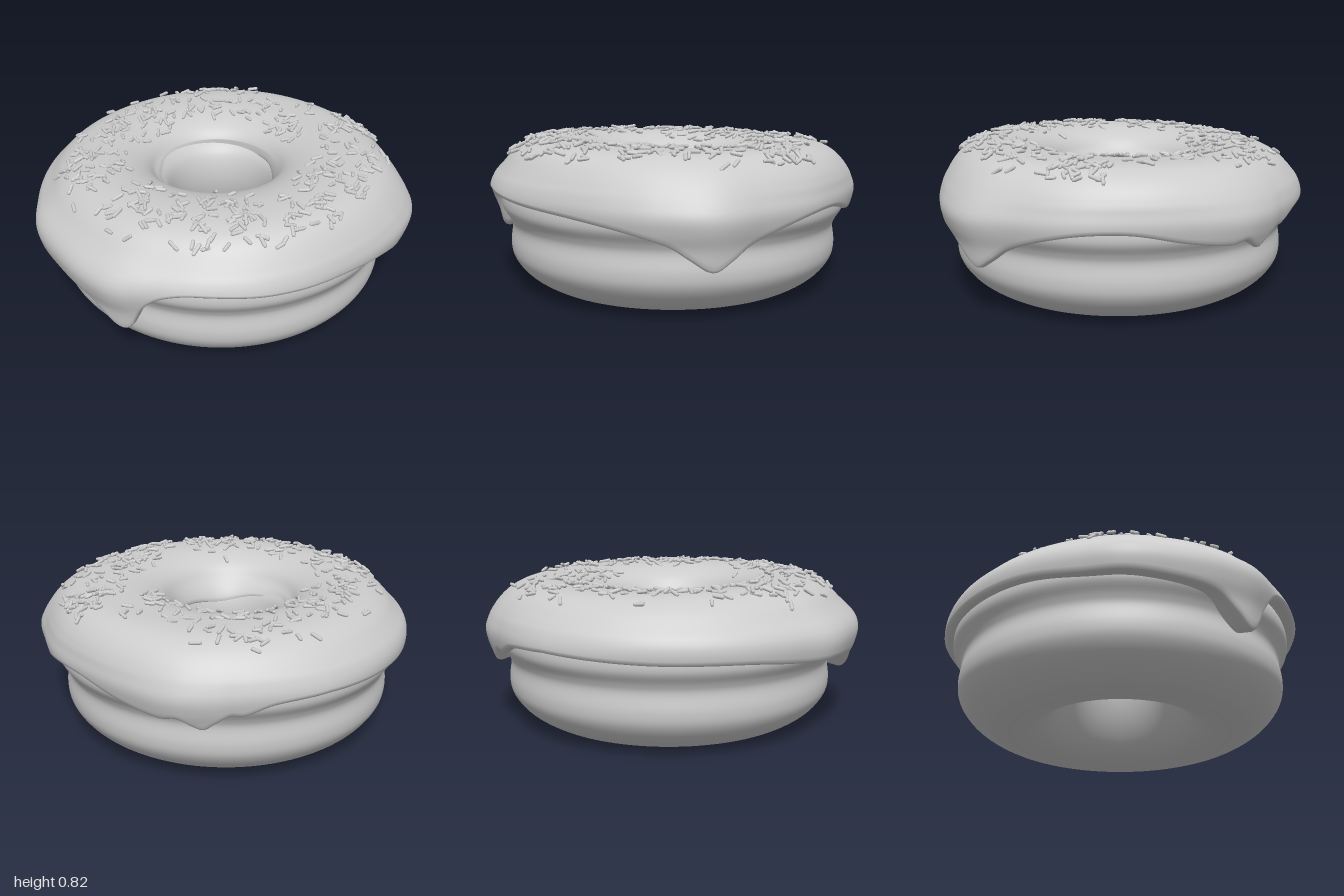
import * as THREE from 'three';
import { mergeGeometries } from 'three/addons/utils/BufferGeometryUtils.js';

const SEG = 300;
const { lerp, smoothstep, degToRad } = THREE.MathUtils;

// Smooth interpolation through [x, y] pairs
function spline(table, x) {
  const last = table.length - 1;
  let i = 0;
  while (i < last - 1 && x > table[i + 1][0]) i++;
  const slope = (k) => {
    const a = table[Math.max(k - 1, 0)], b = table[Math.min(k + 1, last)];
    return (b[1] - a[1]) / (b[0] - a[0]);
  };
  const [x0, y0] = table[i], [x1, y1] = table[i + 1];
  const h = x1 - x0, t = THREE.MathUtils.clamp((x - x0) / h, 0, 1);
  const t2 = t * t, t3 = t2 * t;
  return (2 * t3 - 3 * t2 + 1) * y0 + (t3 - 2 * t2 + t) * h * slope(i)
    + (3 * t2 - 2 * t3) * y1 + (t3 - t2) * h * slope(i + 1);
}

// Ring surface from a cross-section (r, y) per angle; angle 0 is the front, 90 the +x side
function ringSurface(section) {
  const pos = [], idx = [];
  let n = 0;
  for (let i = 0; i < SEG; i++) {
    const deg = -180 + (360 * i) / SEG, a = degToRad(deg);
    const pts = section(deg);
    n = pts.length;
    for (const p of pts) pos.push(p.x * Math.sin(a), p.y, p.x * Math.cos(a));
  }
  for (let i = 0; i < SEG; i++) {
    for (let j = 0; j < n - 1; j++) {
      const a = i * n + j, c = ((i + 1) % SEG) * n + j;
      idx.push(a, a + 1, c, c, a + 1, c + 1);
    }
  }
  const g = new THREE.BufferGeometry();
  g.setAttribute('position', new THREE.Float32BufferAttribute(pos, 3));
  g.setIndex(idx);
  g.computeVertexNormals();
  return g;
}

const curve = (pts) => new THREE.SplineCurve(pts.map(([x, y]) => new THREE.Vector2(x, y)));

// Dough cross-section: up the hole, over the top, down the grooved outside
const doughCurve = curve([
  [0.58, 0], [0.49, 0.018], [0.4, 0.07], [0.325, 0.17], [0.275, 0.29], [0.253, 0.42], [0.27, 0.54],
  [0.32, 0.62], [0.45, 0.69], [0.65, 0.71], [0.83, 0.63], [0.915, 0.54], [0.93, 0.45], [0.893, 0.38],
  [0.878, 0.33], [0.888, 0.24], [0.873, 0.165], [0.81, 0.085], [0.71, 0.022], [0.62, 0], [0.58, 0],
]);

// Icing: top cross-section, outer radius by height, drip edge and outline by angle
const topCurve = curve([
  [0.335, 0.66], [0.375, 0.71], [0.45, 0.75], [0.55, 0.774], [0.67, 0.777],
  [0.78, 0.755], [0.865, 0.71], [0.925, 0.65],
]);
const outerRadius = [[0.25, 0.925], [0.32, 0.935], [0.38, 0.945], [0.45, 0.97], [0.53, 0.983], [0.6, 0.962], [0.65, 0.925]];
const dripEdge = [
  [-180, 0.52], [-150, 0.5], [-120, 0.49], [-100, 0.46], [-85, 0.45], [-70, 0.43], [-62, 0.4],
  [-56, 0.33], [-51, 0.275], [-47.5, 0.3], [-45, 0.39], [-42, 0.47], [-37, 0.525], [-28, 0.55], [0, 0.525],
  [20, 0.5], [35, 0.465], [47, 0.41], [53, 0.345], [59, 0.285], [64, 0.33], [70, 0.4], [80, 0.46],
  [92, 0.5], [105, 0.5], [120, 0.45], [133, 0.42], [138, 0.435], [142, 0.395], [145, 0.375],
  [148, 0.41], [152, 0.455], [156, 0.45], [164, 0.5], [180, 0.52],
];
const outline = [
  [-180, 0.985], [-165, 0.97], [-149, 0.96], [-118, 0.96], [-102, 0.97], [-90, 1], [-75, 1], [-61, 1.02],
  [-51, 1.03], [-38, 0.99], [-24, 0.985], [-12, 0.985], [0, 0.975], [18, 0.97], [33, 1], [45, 1.04],
  [59, 1.07], [73, 1.02], [90, 1], [105, 0.98], [120, 0.986], [137, 1.02], [147, 1.01], [156, 0.99], [180, 0.985],
];

// Adds the uneven outline, strongest near the drips, and the slightly wavy top
function shapeIcing(r, y, deg) {
  const a = degToRad(deg);
  const bulge = (spline(outline, deg) - 0.985) * (1 - 0.6 * smoothstep(y, 0.48, 0.72));
  const shoulder = 0.025 * Math.sin(a) * smoothstep(y, 0.56, 0.68);
  const lift = 0.012 * (1 + Math.sin(a)) * smoothstep(r, 0.62, 0.85);
  return new THREE.Vector2(
    r + (bulge + shoulder) * smoothstep(r, 0.6, 0.93),
    y + (0.014 * Math.cos(a + 0.26) + lift) * smoothstep(y, 0.6, 0.75),
  );
}

function icingSection(deg) {
  const a = degToRad(deg), pts = [];
  const add = (r, y) => pts.push(shapeIcing(r, y, deg));
  const yIn = 0.59 - 0.03 * Math.cos(a) - 0.01 * Math.cos(2 * a) + 0.008 * Math.sin(5 * a);
  const rIn = 0.3 + 0.02 * Math.sin(a) - 0.03 * Math.cos(a);
  // inner lip and wall
  add(rIn + 0.09, yIn + 0.02);
  add(rIn + 0.03, yIn - 0.012);
  add(rIn + 0.008, yIn - 0.01);
  for (let k = 0; k < 6; k++) {
    const t = k / 6;
    add(lerp(rIn, 0.335, t * t * 0.6 + t * 0.4), lerp(yIn, 0.66, t));
  }
  // top
  for (const p of topCurve.getSpacedPoints(28)) add(p.x, p.y);
  // outer wall down to the drip edge, then the rounded lip
  const yOut = spline(dripEdge, deg);
  for (let k = 1; k <= 14; k++) {
    const y = lerp(0.65, yOut, k / 14);
    add(spline(outerRadius, y), y);
  }
  const rOut = spline(outerRadius, yOut);
  add(rOut - 0.01, yOut - 0.013);
  add(rOut - 0.03, yOut - 0.018);
  add(rOut - 0.07, yOut - 0.005);
  add(rOut - 0.16, yOut + 0.03);
  return pts;
}

// Small seeded random generator
function seeded(seed) {
  return () => {
    seed = (Math.imul(seed, 1664525) + 1013904223) >>> 0;
    return seed / 4294967296;
  };
}

function sprinkleGeometry() {
  const rand = seeded(7);
  const bell = () => (rand() + rand() + rand() - 1.5) * 2;
  // clusters: x, z, spread, count
  const clusters = [
    [-0.22, -0.52, 0.13, 55], [0.2, -0.66, 0.13, 36], [0.35, -0.45, 0.12, 28], [-0.68, -0.05, 0.11, 42],
    [-0.5, -0.33, 0.12, 26], [-0.52, 0.42, 0.14, 52], [-0.23, 0.65, 0.13, 62], [0.08, 0.7, 0.12, 28],
    [0.35, 0.53, 0.12, 52], [0.76, 0, 0.11, 58], [0.68, 0.36, 0.12, 34], [0.45, -0.13, 0.09, 20],
  ];
  const surface = (r, deg) => {
    const p = topCurve.getPointAt(THREE.MathUtils.clamp((r - 0.28) / 0.67, 0, 1));
    const q = shapeIcing(p.x, p.y, deg), a = degToRad(deg);
    return new THREE.Vector3(q.x * Math.sin(a), q.y, q.x * Math.cos(a));
  };
  const parts = [];
  const up = new THREE.Vector3(0, 1, 0);
  for (const [cx, cz, spread, count] of clusters) {
    for (let k = 0; k < count; k++) {
      const x = cx + bell() * spread, z = cz + bell() * spread;
      const r = Math.hypot(x, z), deg = THREE.MathUtils.radToDeg(Math.atan2(x, z));
      if (r < 0.37 || r > 0.88) continue;
      const p = surface(r, deg);
      const out = surface(r + 0.02, deg).sub(p).normalize();
      const a = degToRad(deg);
      const side = new THREE.Vector3(Math.cos(a), 0, -Math.sin(a));
      const normal = out.clone().cross(side).normalize();
      const spin = rand() * Math.PI * 2;
      const dir = out.multiplyScalar(Math.cos(spin)).addScaledVector(side, Math.sin(spin))
        .addScaledVector(normal, (rand() - 0.5) * 0.6).normalize();
      const g = new THREE.CapsuleGeometry(0.0095, 0.03 + rand() * 0.02, 2, 7);
      g.applyQuaternion(new THREE.Quaternion().setFromUnitVectors(up, dir));
      p.addScaledVector(normal, 0.002 + rand() * 0.012);
      parts.push(g.translate(p.x, p.y, p.z));
    }
  }
  return mergeGeometries(parts);
}

export function createModel() {
  const group = new THREE.Group();
  group.name = 'donut';
  const material = new THREE.MeshStandardMaterial({ color: 0xcccccc });
  const addPart = (name, geometry) => {
    const mesh = new THREE.Mesh(geometry, material);
    mesh.name = name;
    group.add(mesh);
    return mesh;
  };

  const doughPoints = doughCurve.getPoints(100);
  for (const p of doughPoints) p.y = Math.max(p.y, 0);
  addPart('dough', ringSurface(() => doughPoints)).position.set(0.025, 0, 0.005);
  addPart('icing', ringSurface(icingSection));
  addPart('sprinkles', sprinkleGeometry());
  return group;
}
